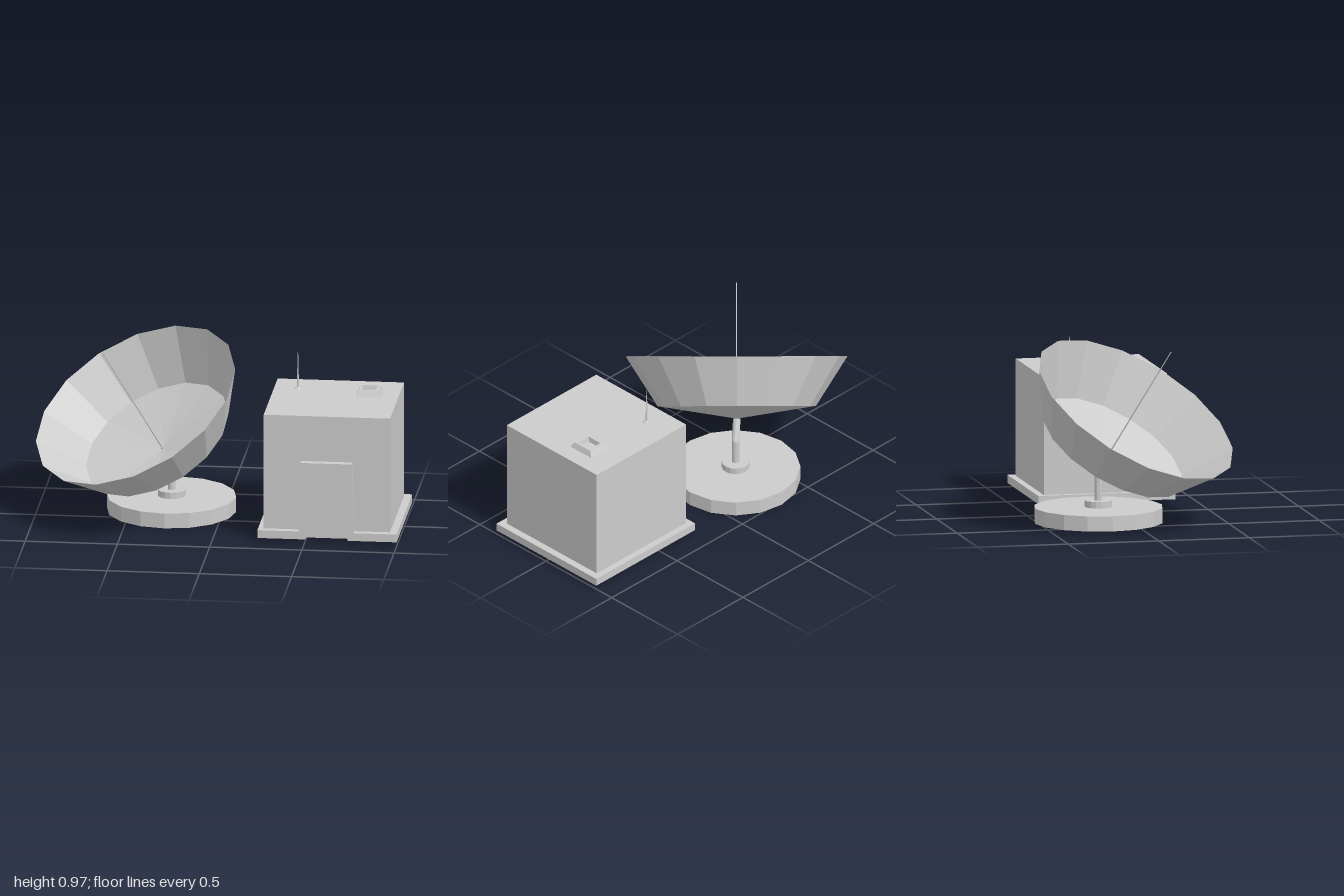
import * as THREE from 'three';

const flat = new THREE.MeshStandardMaterial({ color: 0xcccccc, flatShading: true });
const thin = new THREE.MeshStandardMaterial({ color: 0xcccccc, flatShading: true, side: THREE.DoubleSide });

function add(parent, name, geometry, x = 0, y = 0, z = 0, material = flat) {
  const mesh = new THREE.Mesh(geometry, material);
  mesh.name = name;
  mesh.position.set(x, y, z);
  parent.add(mesh);
  return mesh;
}

const points = (list) => list.map(([x, y]) => new THREE.Vector2(x, y));
const lathe = (profile, sides, start = 0) => new THREE.LatheGeometry(points(profile), sides, start);

// Straight round bar between two points
function bar(parent, name, a, b, r0, r1, sides) {
  const dir = b.clone().sub(a);
  const mesh = add(parent, name, new THREE.CylinderGeometry(r1, r0, dir.length(), sides));
  mesh.position.copy(a).add(b).multiplyScalar(0.5);
  mesh.quaternion.setFromUnitVectors(new THREE.Vector3(0, 1, 0), dir.normalize());
}

function createAntenna() {
  const g = new THREE.Group();
  g.name = 'dishAntenna';
  const cx = -0.28, cz = -0.17;

  // Round foundation, collar and bent post
  add(g, 'foundation', new THREE.CylinderGeometry(0.35, 0.35, 0.083, 16), cx, 0.0415, cz);
  add(g, 'postCollar', new THREE.CylinderGeometry(0.075, 0.075, 0.036, 16), cx, 0.1, cz);
  const foot = new THREE.Vector3(cx, 0.11, cz);
  const elbow = new THREE.Vector3(cx, 0.25, cz);
  const hub = new THREE.Vector3(-0.325, 0.355, -0.135);
  bar(g, 'post', foot, elbow, 0.021, 0.021, 12);
  bar(g, 'postArm', elbow, hub, 0.021, 0.021, 12);
  add(g, 'postElbow', new THREE.SphereGeometry(0.021, 12, 8), elbow.x, elbow.y, elbow.z);

  // Tilted dish: its y axis is the aiming direction, its z axis points to the highest rim corner
  const aim = new THREE.Vector3(-0.395, 0.83, 0.395).normalize();
  const up = new THREE.Vector3(0, 1, 0).addScaledVector(aim, -aim.y).normalize();
  const side = new THREE.Vector3().crossVectors(aim, up);
  const dish = new THREE.Group();
  dish.name = 'dish';
  dish.position.copy(hub);
  dish.quaternion.setFromRotationMatrix(new THREE.Matrix4().makeBasis(side, aim, up));
  add(dish, 'reflector', lathe([[0, 0], [0.427, 0.068], [0.597, 0.335]], 16), 0, 0, 0, thin);
  add(dish, 'feedRod', new THREE.CylinderGeometry(0.003, 0.004, 0.735, 6), 0, 0.3675, 0);
  add(dish, 'feedRodFoot', new THREE.CylinderGeometry(0.009, 0.009, 0.012, 8), 0, 0.006, 0);
  g.add(dish);
  return g;
}

function createBuilding() {
  const g = new THREE.Group();
  g.name = 'building';
  const bottom = 0.022, front = 0.336, step = 0.374;

  // Cubic body
  add(g, 'body', new THREE.BoxGeometry(0.685, 0.683, 0.682), 0.6175, bottom + 0.3415, -0.005);

  // Plinth with a notch in front of the door (drawn in plan, extruded upwards)
  const plan = new THREE.Shape(points([
    [0.245, -step], [0.505, -step], [0.505, -front], [0.735, -front], [0.735, -step],
    [1, -step], [1, 0.383], [0.245, 0.383],
  ]));
  const plinth = new THREE.ExtrudeGeometry(plan, { depth: 0.044, bevelEnabled: false });
  plinth.rotateX(-Math.PI / 2);
  add(g, 'plinth', plinth, 0, bottom, 0);

  // Slightly tapered door surround
  const surround = new THREE.Shape(points([
    [0.468, 0], [0.505, 0], [0.505, 0.408], [0.735, 0.408],
    [0.735, 0], [0.768, 0], [0.757, 0.43], [0.479, 0.43],
  ]));
  add(g, 'doorSurround',
    new THREE.ExtrudeGeometry(surround, { depth: step - front + 0.001, bevelEnabled: false }), 0, bottom, front);

  // Roof hatch: four-sided frustum with a sunken middle
  const q = Math.SQRT2;
  const hatch = add(g, 'roofHatch',
    lathe([[q, 0], [0.8 * q, 0.03], [0.57 * q, 0.03], [0.5 * q, 0.004], [0, 0.004]], 4, Math.PI / 4),
    0.798, 0.705, -0.131);
  hatch.scale.set(0.067, 1, 0.077);

  // Whip aerial on a small flared foot
  add(g, 'roofAerial',
    lathe([[0.02, 0], [0.016, 0.006], [0.006, 0.008], [0.004, 0.1], [0.0015, 0.2], [0, 0.2]], 8),
    0.404, 0.705, -0.174);
  return g;
}

export function createModel() {
  const model = new THREE.Group();
  model.name = 'radarStation';
  model.add(createAntenna(), createBuilding());
  return model;
}
